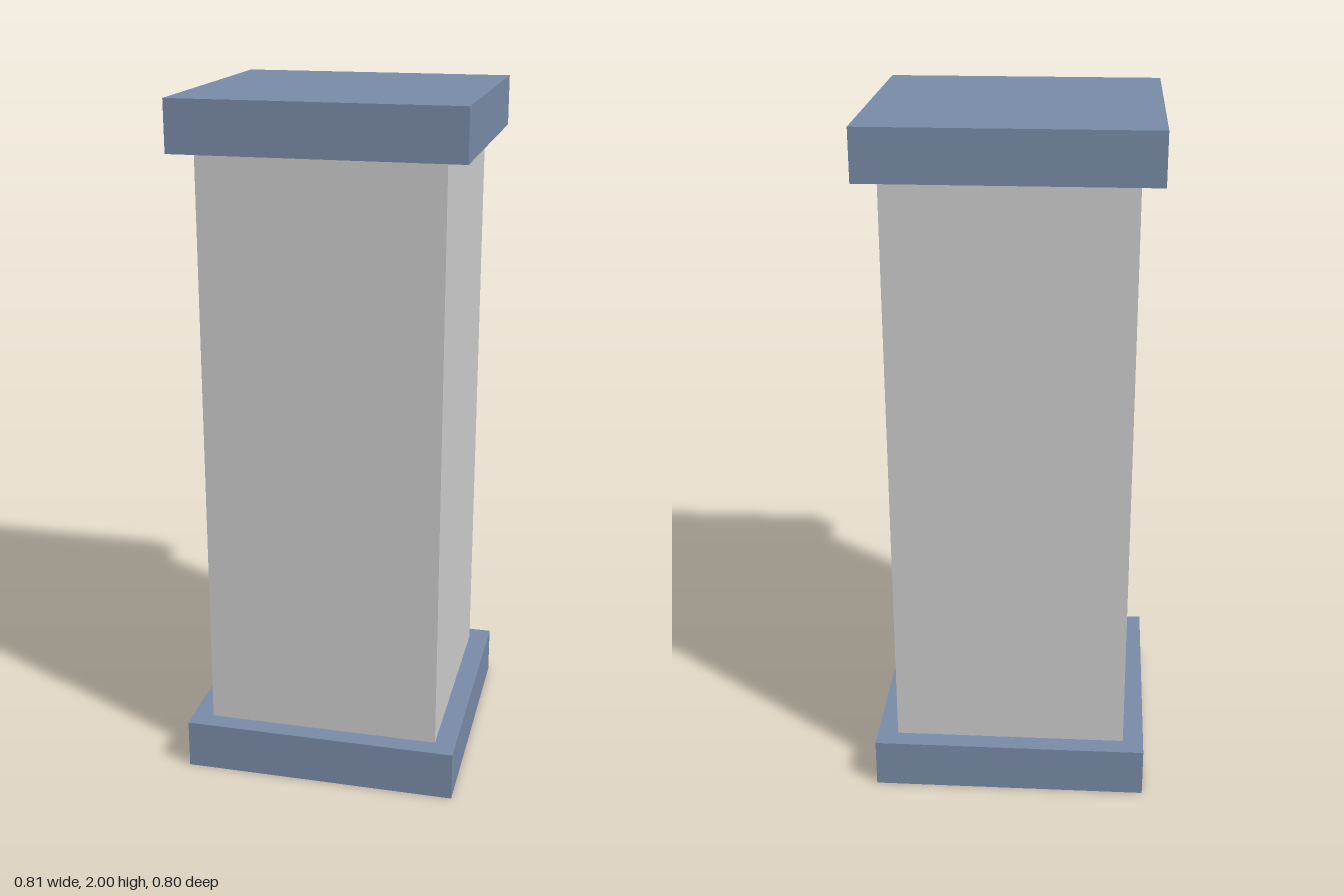
import * as THREE from 'three';

export function createModel() {
  const model = new THREE.Group();
  const grey = new THREE.MeshStandardMaterial({ color: 0xcccccc });
  const blue = new THREE.MeshStandardMaterial({ color: 0x788aa6 });

  // Adds a box centred on the vertical axis, from y = bottom to y = top
  function addBlock(name, width, depth, bottom, top, material) {
    const mesh = new THREE.Mesh(new THREE.BoxGeometry(width, top - bottom, depth), material);
    mesh.name = name;
    mesh.position.y = (bottom + top) / 2;
    model.add(mesh);
  }

  const slab = 0.145; // height of base and capital

  // Square shaft, let slightly into both slabs
  addBlock('shaft', 0.685, 0.685, slab - 0.02, 2 - slab + 0.02, grey);

  // Matching slabs at the foot and the head
  addBlock('base', 0.807, 0.8, 0, slab, blue);
  addBlock('capital', 0.807, 0.8, 2 - slab, 2, blue);

  return model;
}
